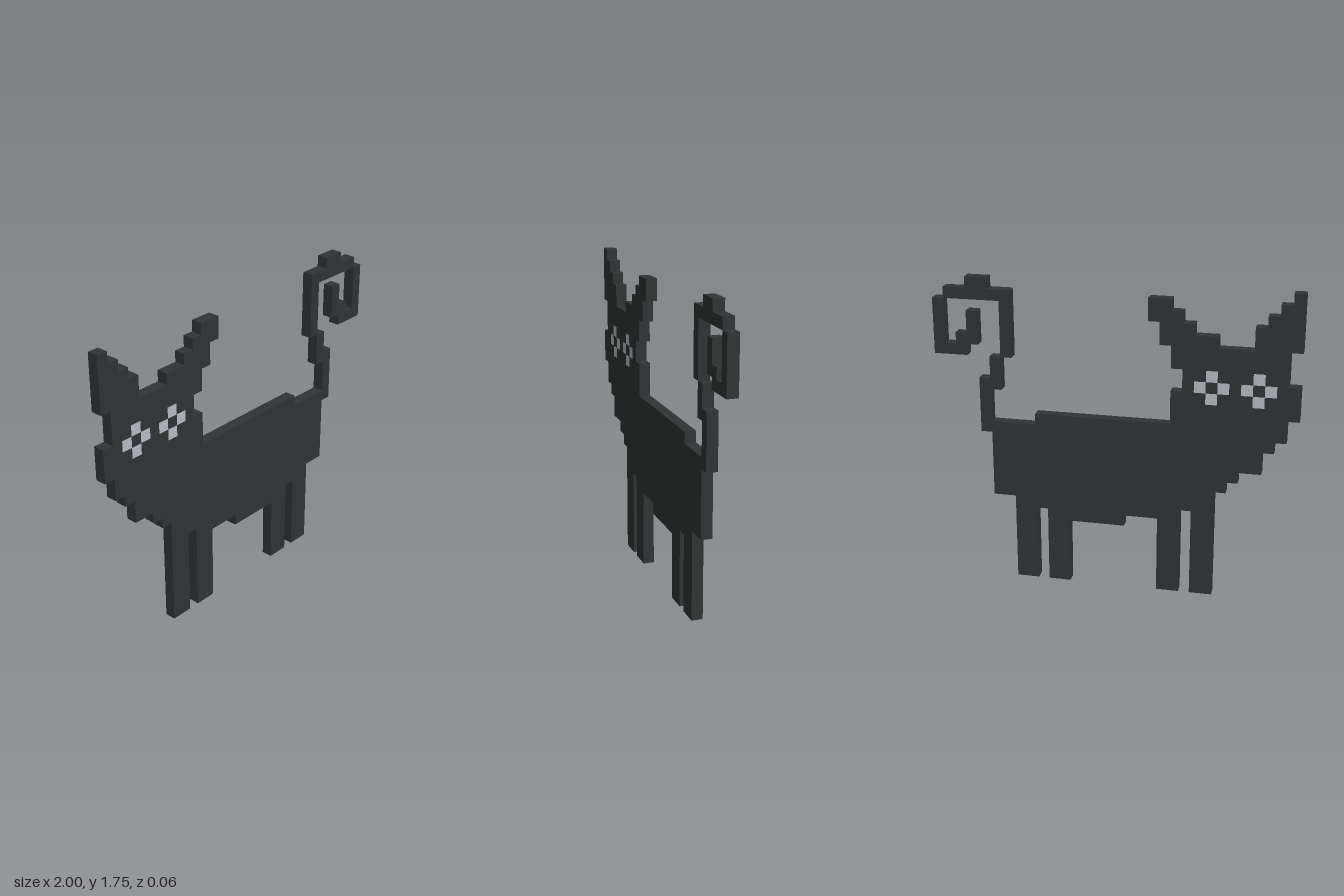
import * as THREE from 'three';

const CELL = 2 / 32, HALF = CELL / 2; // square cell size, half slab depth

const coat = new THREE.MeshStandardMaterial({ color: 0x2d3534 });
coat.name = 'charcoal coat';
const iris = new THREE.MeshStandardMaterial({ color: 0xb8bec7 });
iris.name = 'pale grey eye';

// A plus of four cells around a dark pupil
const eye = (c) => [[18, 19, c, c + 1], [20, 21, c, c + 1], [19, 20, c - 1, c], [19, 20, c + 1, c + 2]];
const leg = (c, top) => [[0, top, c, c + 2]];

// Each part is a list of cell rectangles: [row from, row to, column from, column to].
// Earlier parts own the cells they share with later ones.
const PARTS = [
  ['rightEye', iris, eye(3)],
  ['leftEye', iris, eye(7)],
  ['outerFrontLeg', coat, leg(7, 8)],
  ['innerFrontLeg', coat, leg(10, 7)],
  ['innerBackLeg', coat, leg(20, 6)],
  ['outerBackLeg', coat, leg(23, 7)],
  ['body', coat, [
    [6, 7, 15, 22], [7, 8, 10, 25], [8, 10, 7, 27], [10, 11, 6, 27],
    [11, 12, 5, 27], [12, 14, 3, 27], [14, 15, 2, 27], [15, 16, 1, 23]]],
  ['head', coat, [
    [16, 17, 1, 11], [17, 19, 0, 11], [19, 20, 0, 10], [20, 21, 1, 10], [21, 23, 1, 11]]],
  ['rightEar', coat, [[23, 25, 0, 4], [25, 26, 0, 3], [26, 27, 0, 2], [27, 28, 0, 1]]],
  ['leftEar', coat, [[23, 24, 7, 12], [24, 25, 9, 12], [25, 26, 10, 13], [26, 27, 11, 13]]],
  ['tail', coat, [
    [14, 19, 27, 28], [18, 21, 26, 27], [21, 27, 25, 26], [26, 27, 26, 31], [27, 28, 27, 29],
    [21, 26, 31, 32], [21, 22, 29, 31], [22, 23, 28, 30], [23, 25, 28, 29]]],
];

// Slab surface of the given cells, with walls only where the neighbour is empty
function slabGeometry(cells, owner) {
  const pos = [], nor = [];
  const quad = (a, b, c, d, n) => {
    pos.push(...a, ...b, ...c, ...a, ...c, ...d);
    for (let i = 0; i < 6; i++) nor.push(...n);
  };
  for (const [row, col] of cells) {
    const x0 = -1 + col * CELL, x1 = x0 + CELL, y0 = row * CELL, y1 = y0 + CELL;
    const empty = (dr, dc) => !owner.has(`${row + dr},${col + dc}`);
    const f = [[x0, y0, HALF], [x1, y0, HALF], [x1, y1, HALF], [x0, y1, HALF]];
    const b = f.map(([x, y]) => [x, y, -HALF]);
    quad(f[0], f[1], f[2], f[3], [0, 0, 1]);
    quad(b[1], b[0], b[3], b[2], [0, 0, -1]);
    if (empty(-1, 0)) quad(b[0], b[1], f[1], f[0], [0, -1, 0]);
    if (empty(1, 0)) quad(f[3], f[2], b[2], b[3], [0, 1, 0]);
    if (empty(0, -1)) quad(b[0], f[0], f[3], b[3], [-1, 0, 0]);
    if (empty(0, 1)) quad(f[1], b[1], b[2], f[2], [1, 0, 0]);
  }
  const g = new THREE.BufferGeometry();
  g.setAttribute('position', new THREE.Float32BufferAttribute(pos, 3));
  g.setAttribute('normal', new THREE.Float32BufferAttribute(nor, 3));
  return g;
}

export function createModel() {
  const model = new THREE.Group();
  model.name = 'pixelCat';

  // Hand every cell to one part
  const owner = new Map();
  const cellsOf = PARTS.map(([name, , rects]) => {
    const cells = [];
    for (const [r0, r1, c0, c1] of rects)
      for (let r = r0; r < r1; r++)
        for (let c = c0; c < c1; c++) {
          const key = `${r},${c}`;
          if (owner.has(key)) continue;
          owner.set(key, name);
          cells.push([r, c]);
        }
    return cells;
  });

  PARTS.forEach(([name, material], i) => {
    const mesh = new THREE.Mesh(slabGeometry(cellsOf[i], owner), material);
    mesh.name = name;
    model.add(mesh);
  });
  return model;
}
